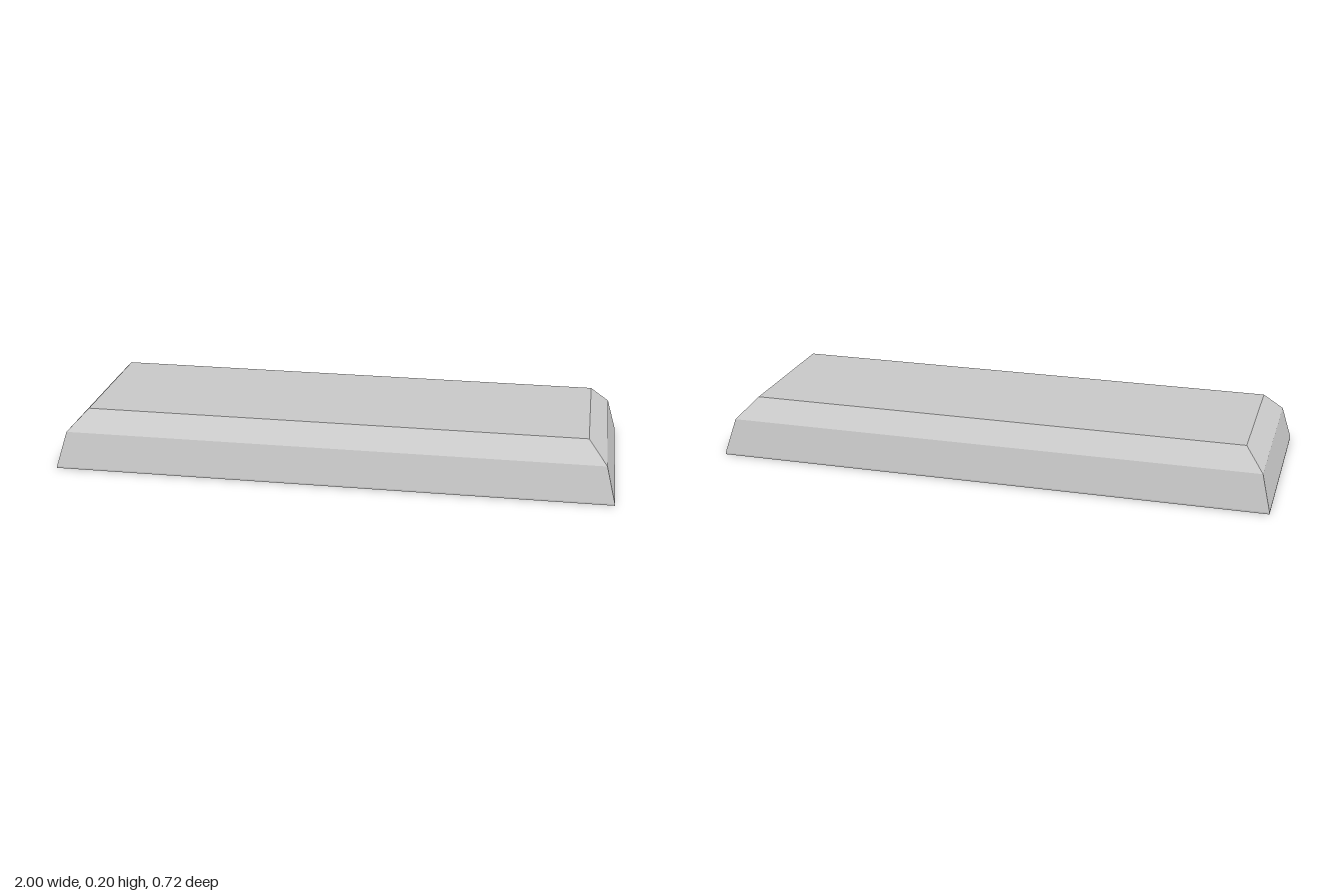
import * as THREE from 'three';

const HALF_W = 1, HALF_D = 0.36;

// Rectangular rings [inset, y], joined in order; first and last are capped
function loftRings(rings) {
  const pos = [], index = [];
  for (const [inset, y] of rings) {
    const w = HALF_W - inset, d = HALF_D - inset;
    pos.push(w, y, d, w, y, -d, -w, y, -d, -w, y, d);
  }
  for (let r = 0; r < rings.length - 1; r++) {
    for (let i = 0; i < 4; i++) {
      const a = r * 4 + i, b = r * 4 + (i + 1) % 4;
      index.push(a, b, b + 4, a, b + 4, a + 4);
    }
  }
  const t = (rings.length - 1) * 4;
  index.push(0, 2, 1, 0, 3, 2, t, t + 1, t + 2, t, t + 2, t + 3);
  const indexed = new THREE.BufferGeometry();
  indexed.setAttribute('position', new THREE.Float32BufferAttribute(pos, 3));
  indexed.setIndex(index);
  const geometry = indexed.toNonIndexed();
  geometry.computeVertexNormals();
  return geometry;
}

export function createModel() {
  const model = new THREE.Group();
  model.name = 'lightFixture';

  const grey = new THREE.MeshStandardMaterial({ color: 0xcccccc });
  grey.name = 'light grey';

  // Hollow housing: inner ceiling, down to the rim, then up the outside
  const housing = new THREE.Mesh(loftRings([
    [0.115, 0.185], [0.055, 0.125], [0.024, 0],
    [0, 0], [0, 0.006], [0.033, 0.13], [0.1, 0.201],
  ]), grey);
  housing.name = 'housing';
  model.add(housing);

  // Two lamp tubes running between the end walls
  const tubeGeometry = new THREE.CylinderGeometry(0.048, 0.048, 1.91, 32);
  tubeGeometry.rotateZ(Math.PI / 2);
  for (const side of [-1, 1]) {
    const tube = new THREE.Mesh(tubeGeometry, grey);
    tube.name = side > 0 ? 'frontTube' : 'backTube';
    tube.position.set(0, 0.075, side * 0.19);
    model.add(tube);
  }
  return model;
}
